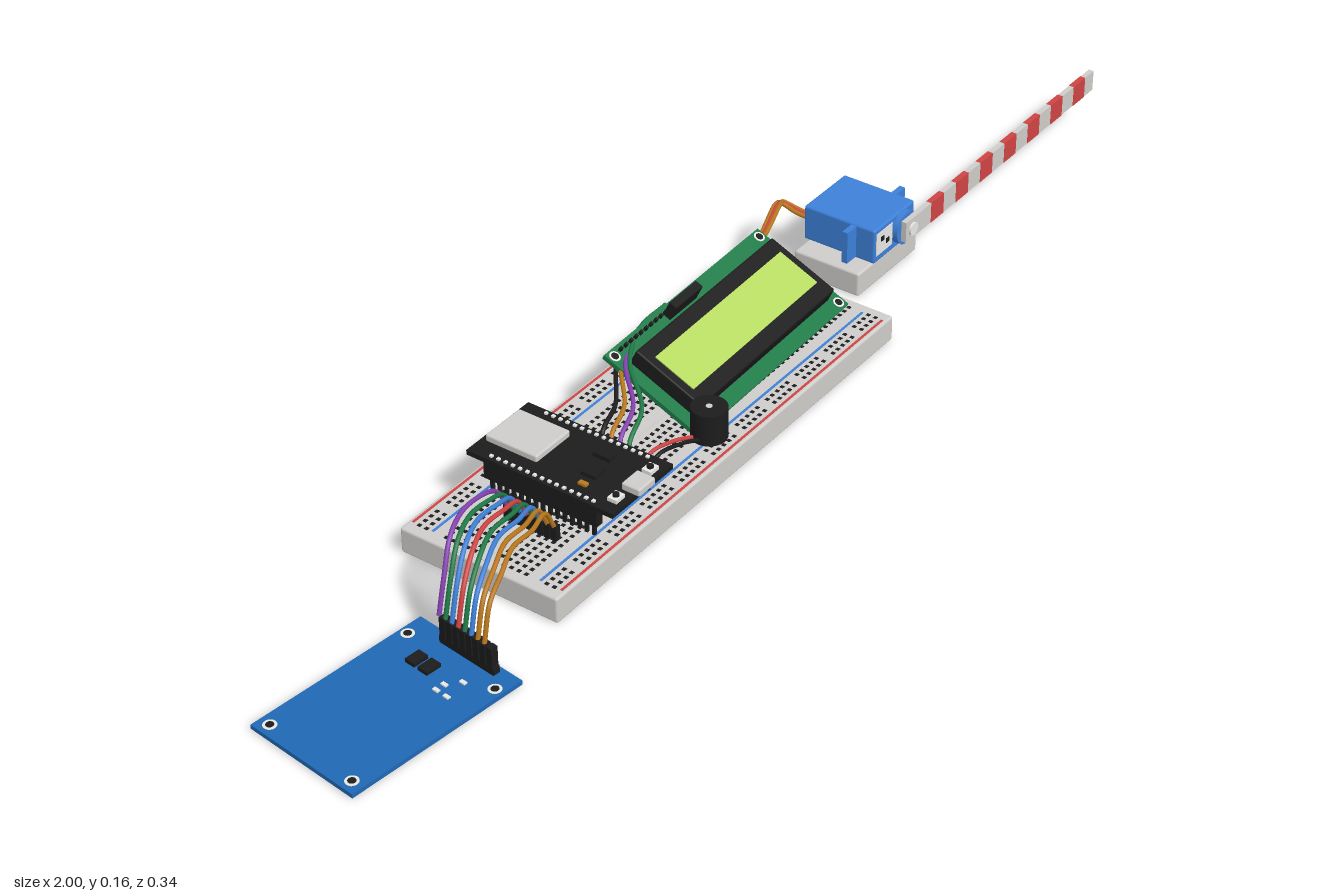
import * as THREE from 'three';
import { mergeGeometries } from 'three/addons/utils/BufferGeometryUtils.js';
import { RoundedBoxGeometry } from 'three/addons/geometries/RoundedBoxGeometry.js';

const colours = {
  plasticGrey: 0xcfcdca, black: 0x1c1c1c, readerBlue: 0x1f68b4, servoBlue: 0x3d80d8,
  screenLime: 0xb6da62, boardGreen: 0x1f7a48, red: 0xcf4444, orange: 0xb9781c,
  purple: 0x8442b0, white: 0xe9e9e6,
};
const mats = {};
for (const [name, color] of Object.entries(colours)) {
  mats[name] = new THREE.MeshStandardMaterial({ color });
  mats[name].name = name;
}

function add(parent, name, geo, mat, x = 0, y = 0, z = 0) {
  const m = new THREE.Mesh(geo, mats[mat]);
  m.name = name;
  m.position.set(x, y, z);
  parent.add(m);
  return m;
}
const box = (p, name, mat, w, h, d, x, y, z) => add(p, name, new THREE.BoxGeometry(w, h, d), mat, x, y, z);
const rounded = (p, name, mat, w, h, d, x, y, z, r = 0.004) =>
  add(p, name, new RoundedBoxGeometry(w, h, d, 2, r), mat, x, y, z);
const disc = (p, name, mat, r, h, x, y, z) => add(p, name, new THREE.CylinderGeometry(r, r, h, 24), mat, x, y, z);

function group(parent, name, x = 0, y = 0, z = 0) {
  const g = new THREE.Group();
  g.name = name;
  g.position.set(x, y, z);
  parent.add(g);
  return g;
}

function wire(parent, name, mat, points, r = 0.0035) {
  const curve = new THREE.CatmullRomCurve3(points.map(p => new THREE.Vector3(...p)));
  add(parent, name, new THREE.TubeGeometry(curve, 32, r, 8), mat);
}

// One mesh of equal boxes at many places
function boxes(parent, name, mat, size, places) {
  const geos = places.map(p => new THREE.BoxGeometry(...size).translate(...p));
  add(parent, name, mergeGeometries(geos), mat);
}

function makeBreadboard(root) {
  const g = group(root, 'breadboard', -0.15, 0, -0.0125);
  rounded(g, 'breadboardBody', 'plasticGrey', 0.84, 0.043, 0.277, 0, 0.0215, 0);
  const pitch = 0.0129, holes = [];
  for (let i = -31; i <= 31; i++) {
    for (const s of [-1, 1]) {
      for (let r = 0; r < 5; r++) holes.push([i * pitch, 0.043, s * (0.019 + r * pitch)]);
      if ((i + 33) % 6) for (const z of [0.106, 0.119]) holes.push([i * pitch, 0.043, s * z]);
    }
  }
  boxes(g, 'breadboardHoles', 'black', [0.006, 0.001, 0.006], holes);
  // Power rail lines
  for (const s of [-1, 1]) {
    box(g, 'redRailLine', 'red', 0.8, 0.001, 0.004, 0, 0.0432, s * 0.131);
    box(g, 'blueRailLine', 'servoBlue', 0.8, 0.001, 0.004, 0, 0.0432, s * 0.095);
  }
  box(g, 'centreGroove', 'plasticGrey', 0.82, 0.001, 0.014, 0, 0.0432, 0);
}

function makeReader(root) {
  const g = group(root, 'cardReader', -0.835, 0, 0.047);
  g.rotation.y = -0.13;
  box(g, 'readerBoard', 'readerBlue', 0.304, 0.007, 0.198, 0, 0.0045, 0);
  for (const [x, z] of [[-0.135, -0.08], [-0.135, 0.08], [0.115, -0.085], [0.115, 0.085]]) {
    disc(g, 'mountRing', 'white', 0.010, 0.001, x, 0.0083, z);
    disc(g, 'mountHole', 'black', 0.006, 0.001, x, 0.0088, z);
  }
  // Chips and small components
  for (const z of [-0.035, -0.01]) box(g, 'readerChip', 'black', 0.026, 0.006, 0.018, 0.085, 0.011, z);
  boxes(g, 'readerComponents', 'white', [0.006, 0.003, 0.01],
    [[0.06, 0.009, 0.03], [0.075, 0.009, 0.03], [0.06, 0.009, 0.05], [0.095, 0.009, 0.045]]);
  // Pin header and cable plugs
  box(g, 'readerHeader', 'black', 0.012, 0.012, 0.105, 0.138, 0.014, 0.012);
  for (let i = 0; i < 8; i++) box(g, 'readerPlug', 'black', 0.012, 0.036, 0.0105, 0.138, 0.034, -0.034 + i * 0.013);
}

function makeController(root) {
  const g = group(root, 'controllerBoard', -0.362, 0, -0.01);
  box(g, 'controllerPlate', 'black', 0.142, 0.008, 0.258, 0, 0.096, 0);
  const pins = [], pads = [];
  for (const s of [-1, 1]) {
    box(g, 'pinStrip', 'black', 0.013, 0.03, 0.2, s * 0.063, 0.078, 0);
    for (let i = 0; i < 15; i++) {
      pins.push([s * 0.063, 0.053, -0.09 + i * 0.0129]);
      pads.push([s * 0.063, 0.101, -0.09 + i * 0.0129]);
    }
  }
  boxes(g, 'controllerPins', 'black', [0.005, 0.025, 0.005], pins);
  boxes(g, 'pinTips', 'white', [0.005, 0.004, 0.005], pads);
  // Radio shield, connector, buttons and chips
  rounded(g, 'radioShield', 'plasticGrey', 0.078, 0.012, 0.092, 0, 0.106, -0.074, 0.003);
  rounded(g, 'usbSocket', 'plasticGrey', 0.038, 0.013, 0.032, 0, 0.106, 0.121, 0.003);
  for (const s of [-1, 1]) {
    box(g, 'button', 'white', 0.02, 0.006, 0.016, s * 0.04, 0.103, 0.112);
    disc(g, 'buttonCap', 'black', 0.005, 0.004, s * 0.04, 0.108, 0.112);
  }
  box(g, 'usbChip', 'black', 0.026, 0.006, 0.026, -0.01, 0.103, 0.05);
  box(g, 'regulator', 'black', 0.018, 0.008, 0.03, 0.03, 0.103, 0.04);
  box(g, 'capacitor', 'orange', 0.008, 0.004, 0.014, -0.04, 0.102, 0.055);
}

function makeDisplay(root) {
  const g = group(root, 'display', 0.046, 0.082, -0.024);
  g.rotation.set(0.436, 0.03, 0, 'YXZ');
  box(g, 'displayBoard', 'boardGreen', 0.41, 0.008, 0.184, 0, 0, 0);
  rounded(g, 'displayBezel', 'black', 0.366, 0.028, 0.126, 0, 0.017, 0.004, 0.003);
  box(g, 'displayScreen', 'screenLime', 0.336, 0.003, 0.074, 0, 0.0312, 0.004);
  for (const x of [-0.193, 0.193]) for (const z of [-0.08, 0.08]) {
    disc(g, 'displayMountRing', 'white', 0.009, 0.001, x, 0.0044, z);
    disc(g, 'displayMountHole', 'black', 0.006, 0.001, x, 0.0049, z);
  }
  // Raised plug on the back edge, pin strip and interface block beneath
  box(g, 'displayPlug', 'black', 0.07, 0.028, 0.014, -0.03, 0.018, -0.076);
  box(g, 'displayPinStrip', 'black', 0.21, 0.014, 0.013, -0.08, -0.011, -0.082);
  const tips = [];
  for (let i = 0; i < 16; i++) tips.push([-0.177 + i * 0.0129, 0.007, -0.082]);
  boxes(g, 'displayPinTips', 'black', [0.005, 0.008, 0.005], tips);
  box(g, 'interfaceBlock', 'black', 0.2, 0.012, 0.05, -0.08, -0.01, -0.045);
}

function makeBuzzer(root) {
  const g = group(root, 'buzzer', -0.145, 0, 0.077);
  disc(g, 'buzzerBody', 'black', 0.028, 0.052, 0, 0.071, 0);
  disc(g, 'buzzerOpening', 'plasticGrey', 0.005, 0.001, 0, 0.0973, 0);
}

function makeServo(root) {
  const g = group(root, 'barrierServo', 0.418, 0, 0);
  rounded(g, 'servoBase', 'plasticGrey', 0.168, 0.042, 0.121, 0, 0.022, -0.04);
  rounded(g, 'servoBody', 'servoBlue', 0.114, 0.061, 0.132, 0, 0.0815, -0.035);
  box(g, 'servoTabs', 'servoBlue', 0.164, 0.056, 0.01, 0, 0.0815, -0.008);
  disc(g, 'servoGearHousing', 'servoBlue', 0.028, 0.012, 0.02, 0.0835, 0.035).rotation.x = Math.PI / 2;
  box(g, 'servoLabel', 'white', 0.045, 0.04, 0.002, -0.03, 0.084, 0.031);
  boxes(g, 'labelMarks', 'black', [0.008, 0.008, 0.002], [[-0.036, 0.09, 0.0322], [-0.022, 0.08, 0.0322]]);
  disc(g, 'servoShaft', 'white', 0.011, 0.016, 0.022, 0.0845, 0.046).rotation.x = Math.PI / 2;

  // Striped barrier arm
  const arm = group(root, 'barrierArm', 0, 0.0855, 0.046);
  box(arm, 'armBeam', 'plasticGrey', 0.579, 0.036, 0.009, 0.7105, 0, 0);
  for (let i = 0; i < 7; i++) box(arm, 'armStripe', 'red', 0.037, 0.0368, 0.0098, 0.512 + i * 0.0735, 0, 0);
}

function makeWires(root) {
  // Ribbon from the card reader to the breadboard
  const ribbon = ['orange', 'orange', 'servoBlue', 'boardGreen', 'red', 'servoBlue', 'boardGreen', 'purple'].reverse();
  ribbon.forEach((mat, i) => {
    const a = 0.022 + i * 0.0125, b = -0.04 + i * 0.0118, top = 0.153 - i * 0.0035;
    const x = -0.694 - i * 0.0017;
    wire(root, 'readerWire', mat, [
      [x, 0.05, a], [x + 0.02, 0.105, a - 0.004], [-0.645, top - 0.008, a * 0.75 + b * 0.25],
      [-0.6, top, (a + b) / 2], [-0.54, top - 0.014, a * 0.3 + b * 0.7],
      [-0.485, 0.1, b], [-0.465, 0.062, b]]);
    box(root, 'breadboardPlug', 'black', 0.01, 0.026, 0.01, -0.465, 0.055, b);
  });
  // Controller to display
  ['boardGreen', 'purple', 'orange', 'black'].forEach((mat, i) => {
    const z = 0.035 - i * 0.016;
    wire(root, 'displayWire', mat, [
      [-0.283, 0.045, z], [-0.265, 0.08, z - 0.012], [-0.21, 0.1 - i * 0.004, z - 0.03],
      [-0.145, 0.116 - i * 0.004, -0.065 - i * 0.008], [-0.06, 0.118 - i * 0.006, -0.106 - i * 0.004],
      [0.0, 0.122 - i * 0.005, -0.106]]);
  });
  // Controller to buzzer
  ['red', 'black'].forEach((mat, i) => wire(root, 'buzzerWire', mat, [
    [-0.283, 0.045, 0.05 + i * 0.015], [-0.26, 0.072, 0.055 + i * 0.012],
    [-0.21, 0.066, 0.06 + i * 0.012], [-0.165, 0.05, 0.066 + i * 0.012]], 0.003));
  // Servo lead and its plug
  box(root, 'servoPlug', 'black', 0.032, 0.042, 0.014, 0.235, 0.064, -0.12);
  ['orange', 'red', 'orange'].forEach((mat, i) => wire(root, 'servoWire', mat, [
    [0.395 + i * 0.006, 0.066, -0.098], [0.396 + i * 0.005, 0.067, -0.14],
    [0.395 + i * 0.003, 0.075, -0.166], [0.37, 0.089, -0.161 + i * 0.004],
    [0.3, 0.088, -0.136 + i * 0.004], [0.25, 0.08, -0.122 + i * 0.003], [0.228 + i * 0.008, 0.07, -0.118]]));
}

export function createModel() {
  const root = new THREE.Group();
  root.name = 'barrierGateKit';
  for (const make of [makeBreadboard, makeReader, makeController, makeDisplay, makeBuzzer, makeServo, makeWires]) make(root);
  return root;
}
